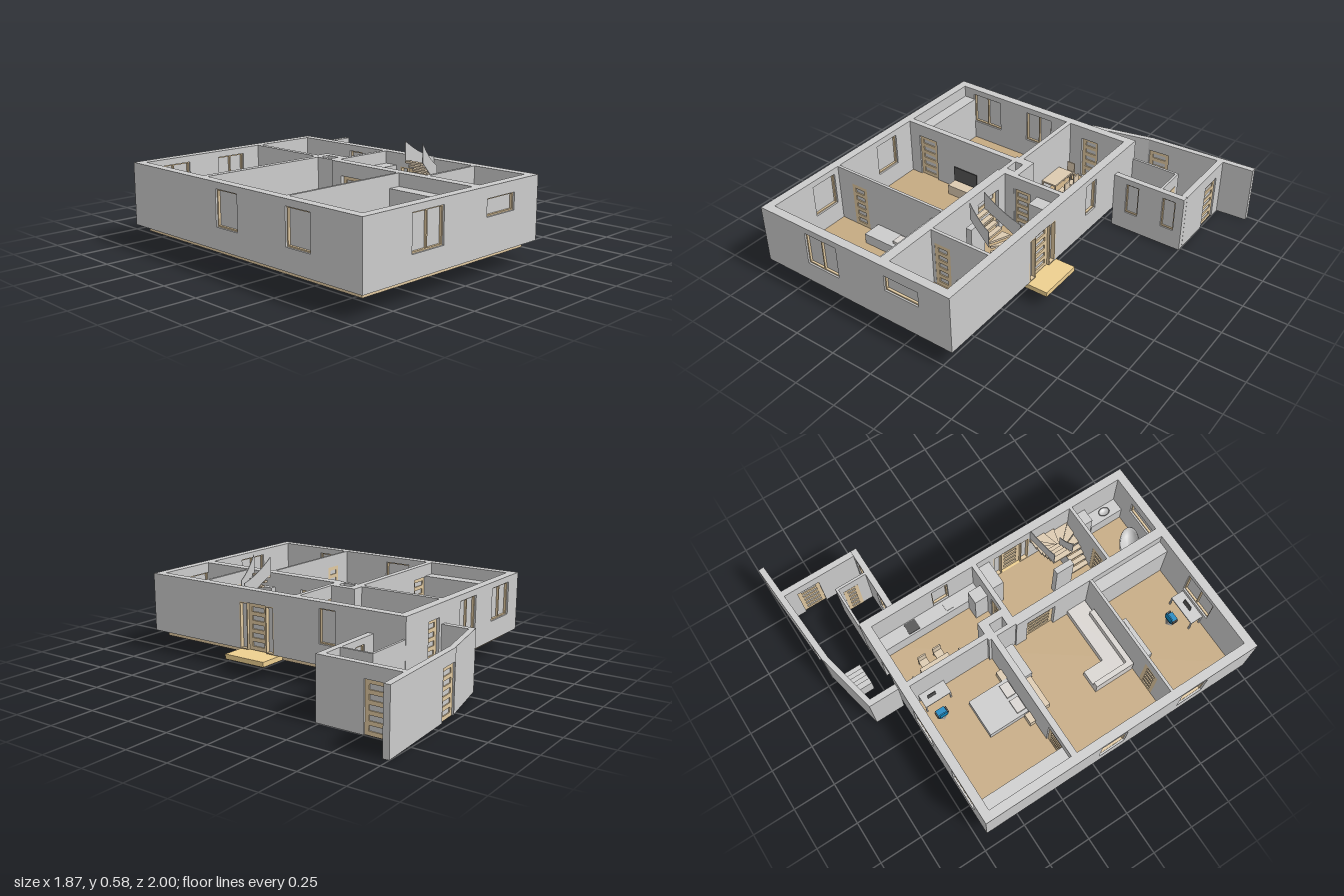
import * as THREE from 'three';

const mat = (color) => new THREE.MeshStandardMaterial({ color, side: THREE.DoubleSide });
const GREY = mat(0xcccccc), WOOD = mat(0xc5aa82), FRAME = mat(0xe0c8a0), STEP = mat(0xeed090);
const PALE = mat(0xdccab0), WHITE = mat(0xf5f5f5), BLUE = mat(0x1088c0), DARK = mat(0x555555), SOFA = mat(0xd8d4d0);
const F = 0.115, TOP = 0.455; // floor level and wall top

export function createModel() {
  const house = new THREE.Group();
  house.name = 'house';

  const add = (name, geo, m, parent = house) => {
    const mesh = new THREE.Mesh(geo, m);
    mesh.name = name;
    parent.add(mesh);
    return mesh;
  };
  const box = (name, x0, x1, y0, y1, z0, z1, m = GREY, parent = house) => {
    const mesh = add(name, new THREE.BoxGeometry(x1 - x0, y1 - y0, z1 - z0), m, parent);
    mesh.position.set((x0 + x1) / 2, (y0 + y1) / 2, (z0 + z1) / 2);
    return mesh;
  };
  const poly = (pts) => new THREE.Shape(pts.map((p) => new THREE.Vector2(...p)));
  const rect = (u0, u1, v0, v1) => [[u0, v0], [u1, v0], [u1, v1], [u0, v1]];
  const slab = (shape, depth) =>
    new THREE.ExtrudeGeometry(shape, { depth, bevelEnabled: false, curveSegments: 10 }).translate(0, 0, -depth / 2);

  // Glazed frame with a grid of panes, filling one opening
  function glazing(name, parent, u0, u1, v0, v1, cols, rows, border, depth) {
    const shape = poly(rect(u0, u1, v0, v1));
    const w = (u1 - u0 - border) / cols, h = (v1 - v0 - border) / rows;
    for (let i = 0; i < cols; i++) for (let j = 0; j < rows; j++) {
      const a = u0 + border + i * w, b = v0 + border + j * h;
      shape.holes.push(poly(rect(a, a + w - border, b, b + h - border)));
    }
    add(name, slab(shape, depth), FRAME, parent);
    box(name + 'Glass', u0 + 0.002, u1 - 0.002, v0 + 0.002, v1 - 0.002, -0.002, 0.002, GREY, parent);
  }

  // Wall along a centre line; openings are [start, end, bottom, top, kind], measured along the wall
  function wall(name, x0, z0, x1, z1, t, y0, y1, openings = []) {
    const g = new THREE.Group();
    g.name = name;
    g.position.set(x0, 0, z0);
    g.rotation.y = -Math.atan2(z1 - z0, x1 - x0);
    const len = Math.hypot(x1 - x0, z1 - z0);
    const edge = [[0, y0]];
    for (const [a, b, v0, v1] of openings) if (v0 <= y0) edge.push([a, y0], [a, v1], [b, v1], [b, y0]);
    const shape = poly([...edge, [len, y0], [len, y1], [0, y1]]);
    for (const [a, b, v0, v1] of openings) if (v0 > y0) shape.holes.push(poly(rect(a, b, v0, v1)));
    add(name + 'Panel', slab(shape, t), GREY, g);
    for (const [a, b, v0, v1, kind] of openings) {
      if (kind === 'door') glazing('door', g, a, b, v0, v1, 1, 5, 0.022, 0.016);
      else if (kind === 'entrance') {
        glazing('sidelight', g, a, a + 0.055, v0, v1, 1, 1, 0.006, t);
        glazing('frontDoor', g, a + 0.055, b - 0.055, v0, v1, 1, 5, 0.022, 0.02);
        glazing('sidelight', g, b - 0.055, b, v0, v1, 1, 1, 0.006, t);
      } else glazing('window', g, a, b, v0, v1, kind, 1, 0.007, t * 0.6);
    }
    house.add(g);
  }

  // Floor, base and entrance step
  box('base', -0.89, 0.26, 0.08, 0.1, -0.65, 0.95, FRAME);
  box('floor', -0.89, 0.26, 0.1, F, -0.65, 0.95, WOOD);
  box('entranceStep', 0.26, 0.425, 0.08, 0.108, 0.1, 0.365, STEP);

  // Outer walls
  wall('frontWall', -0.94, 0.975, 0.31, 0.975, 0.05, F, TOP, [[0.31, 0.525, 0.23, 0.42, 2], [0.84, 1.055, 0.305, 0.395, 1]]);
  wall('backWall', -0.94, -0.675, 0.31, -0.675, 0.05, F, TOP,
    [[0.12, 0.325, 0.23, 0.42, 2], [0.52, 0.7, 0.23, 0.42, 2], [0.92, 1.03, F, 0.38, 'door']]);
  wall('rightWall', -0.915, -0.65, -0.915, 0.95, 0.05, F, TOP, [[0.657, 0.82, 0.23, 0.42, 1], [1.166, 1.33, 0.23, 0.42, 1]]);
  wall('leftWall', 0.285, -0.65, 0.285, 0.95, 0.05, F, TOP, [[0.37, 0.47, 0.23, 0.42, 1], [0.77, 1.005, F, 0.38, 'entrance']]);

  // Inner walls
  wall('bedroomWall', -0.89, -0.137, -0.13, -0.137, 0.035, F, TOP, [[0.07, 0.2, F, 0.38, 'door']]);
  wall('studyWall', -0.89, 0.478, -0.155, 0.478, 0.016, F, TOP, [[0.1, 0.205, F, 0.38, 'door']]);
  wall('kitchenWall', -0.115, -0.65, -0.115, -0.16, 0.03, F, TOP);
  wall('hallWall', -0.127, 0, -0.127, 0.95, 0.055, F, TOP, [[0.07, 0.25, F, 0.38, 'door']]);
  wall('pantryWall', -0.1, -0.005, 0.26, -0.005, 0.028, F, TOP, [[0.06, 0.17, F, 0.38, 'door']]);
  wall('bathroomWall', -0.1, 0.63, 0.26, 0.63, 0.018, F, TOP, [[0.02, 0.12, F, 0.38, 'door']]);

  // Chimney with an open flue
  const flue = poly(rect(-0.145, -0.03, -0.005, 0.17));
  flue.holes.push(poly(rect(-0.12, -0.07, 0.04, 0.12)));
  add('chimney', new THREE.ExtrudeGeometry(flue, { depth: TOP - F, bevelEnabled: false }), GREY)
    .rotateX(-Math.PI / 2).position.y = F;

  // Annex at ground level, with a bent rear wall
  const H = 0.34;
  wall('annexFront', 0.31, -0.497, 0.75, -0.497, 0.035, 0, H, [[0.08, 0.16, F, 0.305, 1], [0.31, 0.39, F, 0.305, 1]]);
  wall('annexSide', 0.733, -0.96, 0.733, -0.515, 0.035, 0, H, [[0.075, 0.21, 0, 0.27, 'door']]);
  wall('annexEnd', -0.06, -0.87, -0.06, -0.7, 0.035, 0, H);
  wall('annexRear', -0.075, -0.863, 0.285, -0.942, 0.03, 0, H);
  wall('annexRearLong', 0.28, -0.942, 0.93, -0.983, 0.034, 0, H, [[0.01, 0.135, 0, 0.27, 'door']]);
  wall('annexInnerBack', 0.31, -0.692, 0.6, -0.692, 0.014, 0, H);
  wall('annexInnerSide', 0.593, -0.685, 0.593, -0.514, 0.014, 0, H, [[0.02, 0.11, 0, 0.27, 'door']]);
  for (let i = 0; i < 5; i++)
    box('annexStep', 0.1 + i * 0.032, 0.132 + i * 0.032, 0, 0.115 - i * 0.023, -0.91, -0.79);

  // Winding staircase: straight flight, fan of treads, straight flight
  const rise = 0.024, cx = 0.14, cz = 0.49;
  let level = F;
  const tread = (pts) => {
    level += rise;
    add('stairTread', new THREE.ExtrudeGeometry(poly(pts.map(([x, z]) => [x, -z])), { depth: 0.012, bevelEnabled: false }), PALE)
      .rotateX(-Math.PI / 2).position.y = level - 0.012;
  };
  const w = 0.0275;
  for (let i = 0; i < 4; i++) tread(rect(0.03 + i * w, 0.03 + (i + 1) * w, 0.51, 0.62));
  const fan = [90, 68, 47.3, 16, -16, -47.3, -68, -90].map((d) => {
    const c = Math.cos(d * Math.PI / 180), s = Math.sin(d * Math.PI / 180);
    const r = Math.min(0.12 / Math.max(c, 1e-6), 0.13 / Math.abs(s));
    return [[cx + 0.015 * c, cz + 0.02 * s], [cx + r * c, cz + r * s]];
  });
  for (let i = 0; i < 7; i++) tread([fan[i][0], fan[i][1], fan[i + 1][1], fan[i + 1][0]]);
  for (let i = 0; i < 4; i++) tread(rect(cx - (i + 1) * w, cx - i * w, 0.36, 0.47));
  // Curved stair sides reaching above the walls
  const side = (name, z, xEnd, yEnd, drop) => {
    const s = new THREE.Shape();
    s.moveTo(0.03, 0.58);
    s.quadraticCurveTo(0.03 + (xEnd - 0.03) * 0.5, (0.58 + yEnd) / 2 - 0.03, xEnd, yEnd);
    s.lineTo(xEnd, yEnd - drop);
    s.lineTo(0.03, 0.58 - drop);
    add(name, slab(s, 0.004), GREY).position.z = z;
  };
  side('outerStairSide', 0.361, 0.258, 0.47, 0.1);
  side('innerStairSide', 0.48, 0.145, 0.45, 0.1);
  box('lowerStairSide', 0.03, 0.14, F, 0.25, 0.503, 0.507);
  box('stairPost', -0.01, 0.025, F, 0.4, 0.36, 0.47);

  // Storage and counters
  const furniture = [
    ['wardrobe', -0.89, -0.815, 0.27, -0.65, -0.155], ['studyWardrobe', -0.225, -0.155, 0.27, 0.485, 0.95],
    ['kitchenCounter', 0.18, 0.26, 0.11, -0.65, -0.02], ['fridge', 0.105, 0.18, 0.24, -0.1, -0.02],
    ['hallCupboard', 0.115, 0.26, 0.27, 0.01, 0.09], ['livingShelf', -0.36, -0.16, 0.1, -0.12, -0.03],
    ['washCounter', 0.18, 0.26, 0.1, 0.74, 0.95], ['bathCupboard', 0.18, 0.26, 0.2, 0.64, 0.735],
  ];
  for (const [n, x0, x1, h, z0, z1] of furniture) box(n, x0, x1, F, F + h, z0, z1);
  box('stove', 0.19, 0.255, F + 0.11, F + 0.115, -0.48, -0.41, DARK);
  box('sink', 0.195, 0.24, F + 0.11, F + 0.114, -0.235, -0.19, WHITE);
  box('televisionStand', -0.55, -0.35, F, F + 0.06, -0.118, -0.04, PALE);
  box('television', -0.545, -0.38, F + 0.07, F + 0.16, -0.1, -0.094, DARK);

  // Beds
  box('bed', -0.52, -0.3, F, F + 0.06, -0.405, -0.16);
  for (const x of [-0.5, -0.4]) box('pillow', x, x + 0.08, F + 0.06, F + 0.075, -0.22, -0.165, SOFA);
  for (const x of [-0.585, -0.3]) box('nightstand', x, x + 0.06, F, F + 0.06, -0.19, -0.156, PALE);
  box('dayBed', -0.62, -0.37, F, F + 0.06, 0.488, 0.595);
  box('dayBedPillow', -0.44, -0.385, F + 0.06, F + 0.075, 0.505, 0.57, SOFA);

  // Corner sofa
  box('sofaSeat', -0.62, -0.155, F, F + 0.05, 0.345, 0.465, SOFA);
  box('sofaBack', -0.62, -0.24, F + 0.05, F + 0.1, 0.435, 0.465, SOFA);
  box('sofaWing', -0.62, -0.5, F, F + 0.05, 0.22, 0.345, SOFA);
  box('sofaWingBack', -0.62, -0.59, F + 0.05, F + 0.1, 0.22, 0.435, SOFA);

  // Tables on four legs
  function table(name, x0, x1, z0, z1, h, m) {
    box(name + 'Top', x0, x1, F + h - 0.01, F + h, z0, z1, m);
    for (const x of [x0, x1 - 0.008]) for (const z of [z0, z1 - 0.008])
      box(name + 'Leg', x, x + 0.008, F, F + h - 0.01, z, z + 0.008, m);
  }
  table('diningTable', -0.1, -0.005, -0.535, -0.355, 0.095, PALE);
  table('bedroomDesk', -0.21, -0.13, -0.62, -0.46, 0.095, GREY);
  table('studyDesk', -0.605, -0.42, 0.87, 0.948, 0.095, GREY);
  box('screen', -0.175, -0.17, F + 0.1, F + 0.15, -0.585, -0.535, DARK);
  box('studyScreen', -0.54, -0.48, F + 0.1, F + 0.15, 0.905, 0.91, DARK);

  // Dining chairs; the backs face away from the table
  for (const [x, z, bx, bz] of [[-0.05, -0.57, 0, -1], [0.027, -0.49, 1, 0], [0.027, -0.395, 1, 0], [-0.05, -0.315, 0, 1]]) {
    table('chair', x - 0.025, x + 0.025, z - 0.025, z + 0.025, 0.057, PALE);
    const hx = bx ? 0.004 : 0.025, hz = bz ? 0.004 : 0.025, px = x + bx * 0.021, pz = z + bz * 0.021;
    box('chairBack', px - hx, px + hx, F + 0.057, F + 0.115, pz - hz, pz + hz, PALE);
  }

  // Blue swivel chairs
  for (const [x, z, turn] of [[-0.27, -0.56, -Math.PI / 2], [-0.51, 0.81, Math.PI]]) {
    const g = new THREE.Group();
    g.name = 'swivelChair';
    g.position.set(x, F, z);
    g.rotation.y = turn;
    box('seat', -0.027, 0.027, 0.052, 0.062, -0.025, 0.025, BLUE, g);
    box('seatBack', -0.024, 0.024, 0.07, 0.125, 0.022, 0.029, BLUE, g);
    for (const s of [-1, 1]) box('armrest', s * 0.031 - 0.004, s * 0.031 + 0.004, 0.05, 0.082, -0.014, 0.018, DARK, g);
    add('column', new THREE.CylinderGeometry(0.005, 0.005, 0.052, 8), DARK, g).position.y = 0.026;
    add('foot', new THREE.CylinderGeometry(0.008, 0.028, 0.01, 5), DARK, g).position.y = 0.005;
    house.add(g);
  }

  // Bathroom fittings
  const lathe = (name, pts, x, z, sx, sz, turn = 0) => {
    const m = add(name, new THREE.LatheGeometry(pts.map((p) => new THREE.Vector2(...p)), 28), WHITE);
    m.position.set(x, F, z);
    m.scale.set(sx, 1, sz);
    m.rotation.y = turn;
  };
  lathe('bathtub', [[0, 0], [0.8, 0], [1, 0.07], [1, 0.075], [0.86, 0.075], [0.7, 0.02], [0, 0.015]], -0.01, 0.873, 0.1, 0.056, -0.68);
  lathe('washbasin', [[0, 0.1], [0.7, 0.1], [1, 0.118], [0.85, 0.118], [0.5, 0.106], [0, 0.105]], 0.217, 0.85, 0.026, 0.034);
  lathe('toiletBowl', [[0, 0], [0.55, 0], [0.55, 0.02], [1, 0.05], [1, 0.054], [0, 0.054]], 0.09, 0.688, 0.022, 0.032);
  box('toiletTank', 0.065, 0.115, F + 0.03, F + 0.095, 0.641, 0.662, WHITE);

  return house;
}
